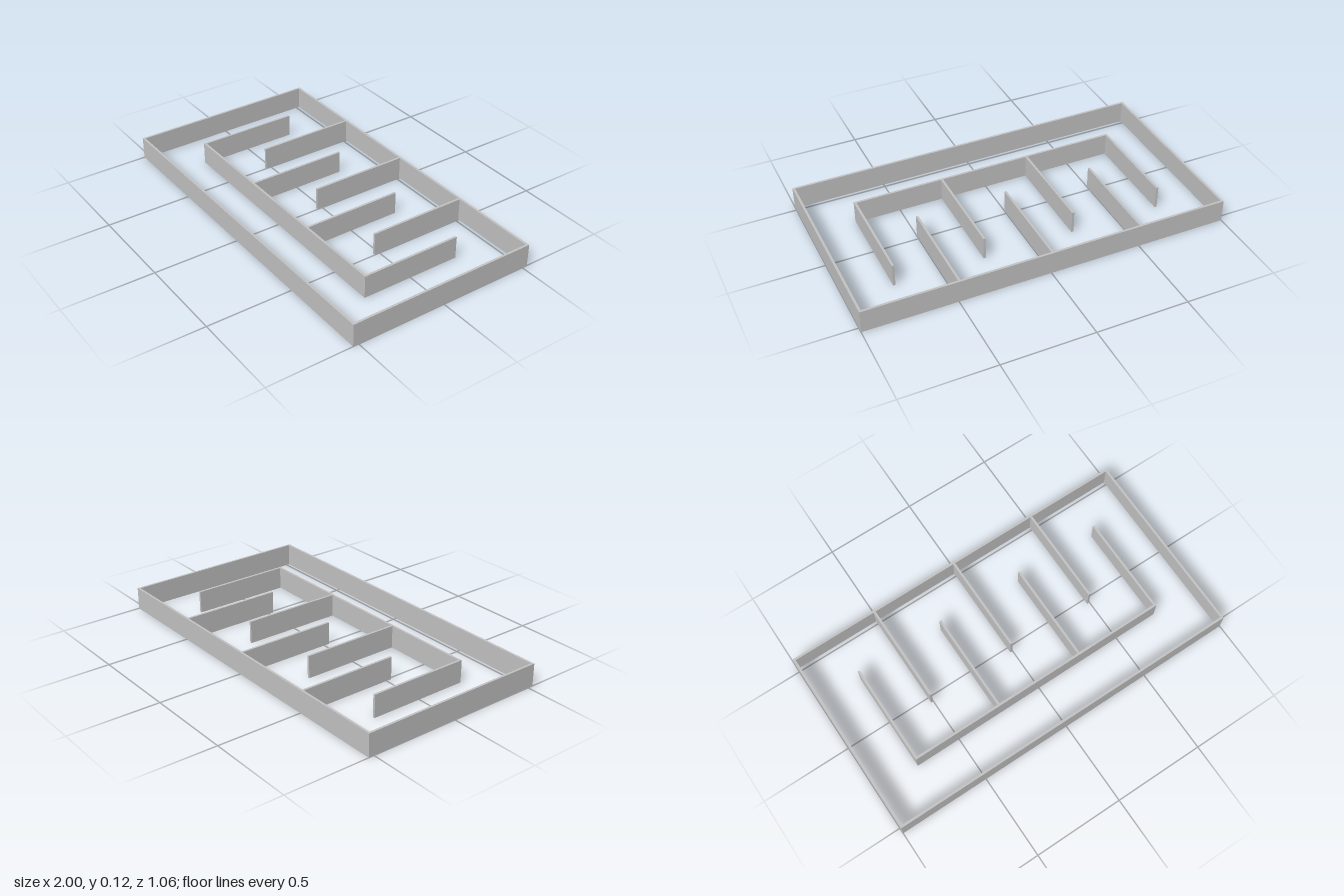
import * as THREE from 'three';

const H = 0.125; // wall height
const T = 0.0125; // wall thickness

export function createModel() {
  const model = new THREE.Group();
  model.name = 'mazeTray';
  const grey = new THREE.MeshStandardMaterial({ color: 0xc4c4c4 });
  grey.name = 'light grey';

  // Upright wall filling a rectangle of the floor plan
  const wall = (name, x0, x1, z0, z1, parent) => {
    const mesh = new THREE.Mesh(new THREE.BoxGeometry(x1 - x0, H, z1 - z0), grey);
    mesh.position.set((x0 + x1) / 2, H / 2, (z0 + z1) / 2);
    mesh.name = name;
    parent.add(mesh);
  };

  // Rectangular outer frame
  const X = 1, Z = 0.531;
  const frame = new THREE.Group();
  frame.name = 'outerFrame';
  wall('backWall', -X, X, -Z, -Z + T, frame);
  wall('frontWall', -X, X, Z - T, Z, frame);
  wall('rightWall', -X, -X + T, -Z + T, Z - T, frame);
  wall('leftWall', X - T, X, -Z + T, Z - T, frame);

  // Baffles reaching forward from the back wall
  const baffles = new THREE.Group();
  baffles.name = 'backBaffles';
  for (const x of [-0.507, -0.008, 0.491]) {
    wall('backBaffle', x - T / 2, x + T / 2, -Z + T, -0.03 + 0.06, baffles);
  }

  // Free-standing comb: a long spine with four baffles reaching back
  const comb = new THREE.Group();
  comb.name = 'innerComb';
  const spineFront = 0.278;
  wall('combSpine', -0.753, 0.747, spineFront - T, spineFront, comb);
  for (const x of [-0.747, -0.246, 0.254, 0.741]) {
    wall('combBaffle', x - T / 2, x + T / 2, -0.285, spineFront - T, comb);
  }

  model.add(frame, baffles, comb);
  return model;
}
